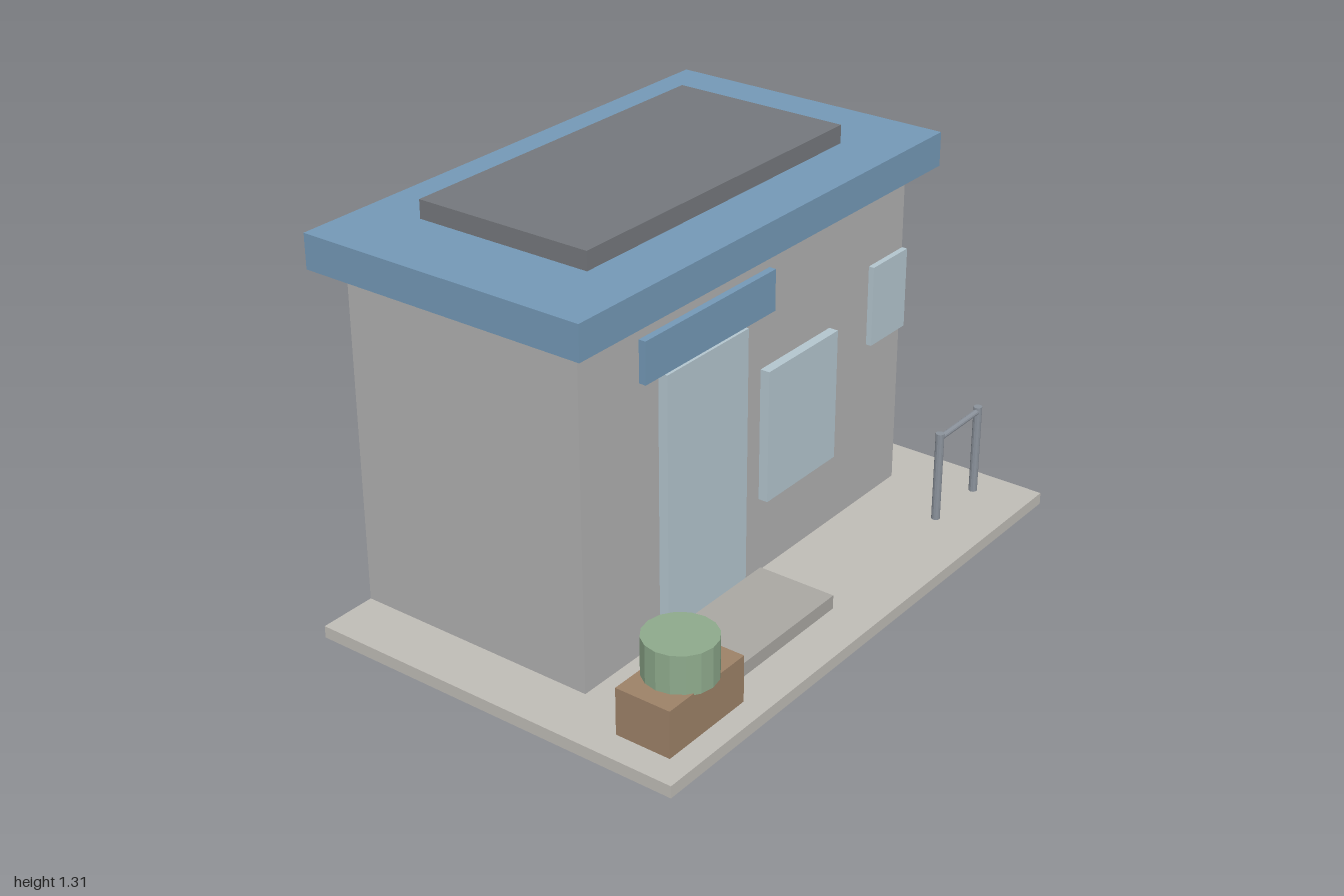
import * as THREE from 'three';

const material = (color) => new THREE.MeshStandardMaterial({ color, flatShading: true });

const paving = material(0xc0bdb7);
const wall = material(0xb0b0b0);
const blue = material(0x7499b7);
const darkGrey = material(0x75787d);
const glass = material(0xb4c6cf);
const stone = material(0xaaa8a3);
const wood = material(0x9d8268);
const leaf = material(0x8eaa8c);
const metal = material(0x8b929b);

export function createModel() {
  const model = new THREE.Group();
  model.name = 'kiosk';

  const add = (parent, name, geometry, mat, x, y, z) => {
    const mesh = new THREE.Mesh(geometry, mat);
    mesh.name = name;
    mesh.position.set(x, y, z);
    parent.add(mesh);
    return mesh;
  };

  // Box given by its extents along each axis
  const box = (name, mat, [x0, x1], [y0, y1], [z0, z1], parent = model) =>
    add(parent, name, new THREE.BoxGeometry(x1 - x0, y1 - y0, z1 - z0), mat,
      (x0 + x1) / 2, (y0 + y1) / 2, (z0 + z1) / 2);

  // Ground slab and building shell
  box('groundSlab', paving, [-1, 1], [0, 0.04], [-0.613, 0.69]);
  box('walls', wall, [-0.805, 0.805], [0.04, 1.14], [-0.613, 0.233]);
  box('roof', blue, [-0.885, 0.885], [1.14, 1.252], [-0.69, 0.308]);
  box('roofPanel', darkGrey, [-0.613, 0.613], [1.252, 1.312], [-0.5, 0.113]);

  // Shop front
  box('door', glass, [-0.465, -0.08], [0.04, 0.927], [0.238, 0.27]);
  box('frontWindow', glass, [0.027, 0.391], [0.302, 0.743], [0.238, 0.27]);
  box('cornerWindow', glass, [0.613, 0.806], [0.6, 0.87], [0.13, 0.252]);
  box('signBoard', blue, [-0.578, 0.033], [0.945, 1.078], [0.26, 0.283]);
  box('doorStep', stone, [-0.54, -0.003], [0.04, 0.086], [0.27, 0.54]);

  // Planter with a clipped shrub
  const planter = new THREE.Group();
  planter.name = 'planter';
  model.add(planter);
  box('planterBox', wood, [-0.905, -0.563], [0.04, 0.195], [0.425, 0.613], planter);
  add(planter, 'shrub', new THREE.CylinderGeometry(0.113, 0.113, 0.13, 16), leaf, -0.735, 0.254, 0.52);

  // Hand rail: two posts and a cross bar
  const rail = new THREE.Group();
  rail.name = 'handRail';
  rail.position.set(0.767, 0, 0.5);
  model.add(rail);
  for (const side of [-1, 1]) {
    add(rail, side < 0 ? 'rightPost' : 'leftPost',
      new THREE.CylinderGeometry(0.014, 0.014, 0.31, 12), metal, side * 0.117, 0.195, 0);
  }
  const bar = add(rail, 'crossBar', new THREE.CylinderGeometry(0.01, 0.01, 0.234, 12), metal, 0, 0.333, 0);
  bar.rotation.z = Math.PI / 2;

  return model;
}
